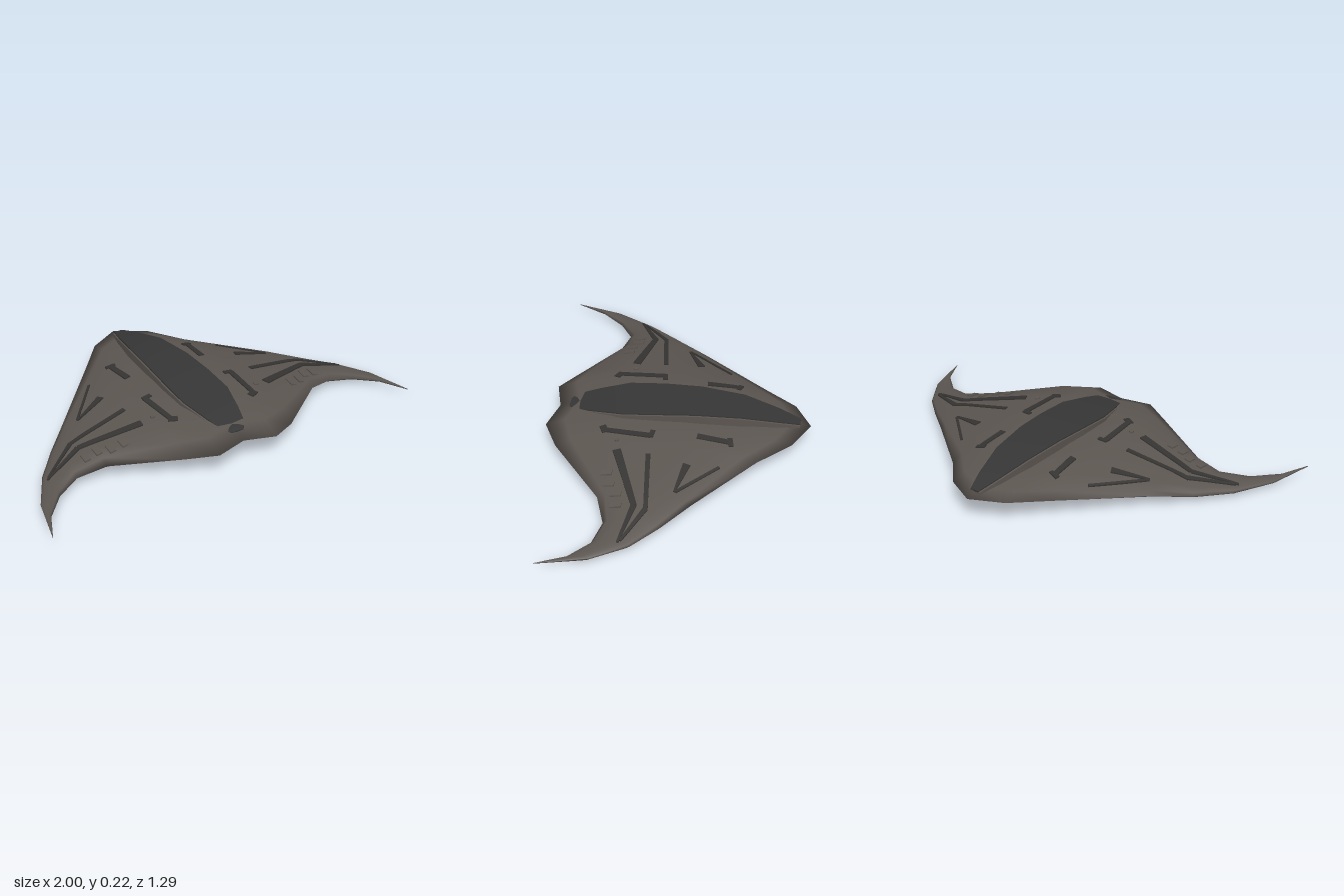
import * as THREE from 'three';
import { toCreasedNormals } from 'three/addons/utils/BufferGeometryUtils.js';

const mat = (name, color, extra = {}) => {
  const m = new THREE.MeshStandardMaterial({ color, ...extra });
  m.name = name;
  return m;
};

// Wing stations: x, rear edge z, front edge z, edge y, top y, bottom y, sweep of the -x wing
const STATIONS = [
  [0, -0.65, 0.54, 0.12, 0.175, 0.075, 0],
  [0.15, -0.57, 0.58, 0.115, 0.175, 0.075, 0],
  [0.28, -0.42, 0.51, 0.1, 0.165, 0.07, 0],
  [0.58, -0.16, 0.26, 0.07, 0.108, 0.03, 0.08],
  [0.72, -0.04, 0.21, 0.045, 0.077, 0.018, 0.11],
  [0.84, 0.07, 0.24, 0.035, 0.053, 0.015, 0.15],
  [0.94, 0.23, 0.33, 0.034, 0.042, 0.022, 0.175],
  [1, 0.455, 0.46, 0.035, 0.037, 0.033, 0.18],
];
// Chord fraction and height fraction of the upper and lower skin
const TOP = [[0, 0], [0.07, 0.32], [0.2, 0.7], [0.45, 1], [0.75, 0.97], [0.92, 0.68], [1, 0]];
const BOTTOM = [[0.9, 0.75], [0.7, 1], [0.3, 1], [0.08, 0.5]];

const lerp = THREE.MathUtils.lerp;
function station(x) {
  const u = Math.min(Math.abs(x), 1);
  let i = 0;
  while (i < STATIONS.length - 2 && STATIONS[i + 1][0] < u) i++;
  const a = STATIONS[i], b = STATIONS[i + 1];
  const k = (u - a[0]) / (b[0] - a[0]);
  const s = a.map((v, n) => lerp(v, b[n], k));
  const sweep = x < 0 ? s[6] : 0;
  return { rear: s[1] + sweep, front: s[2] + sweep, edge: s[3], top: s[4], bottom: s[5], sweep };
}

// Height of the upper skin
function topAt(x, z) {
  const s = station(x);
  const t = THREE.MathUtils.clamp((z - s.rear) / (s.front - s.rear), 0, 1);
  let i = 0;
  while (i < TOP.length - 2 && TOP[i + 1][0] < t) i++;
  const [a, b] = [TOP[i], TOP[i + 1]];
  return lerp(s.edge, s.top, lerp(a[1], b[1], (t - a[0]) / (b[0] - a[0])));
}

// Skin over a series of closed rings, with both ends capped
function loft(rings, smooth) {
  const n = rings[0].length, pos = rings.flat(2), idx = [];
  for (let i = 0; i < rings.length - 1; i++) {
    for (let j = 0; j < n; j++) {
      const k = (j + 1) % n;
      const a = i * n + j, b = i * n + k, c = b + n, d = a + n;
      idx.push(a, b, c, a, c, d);
    }
  }
  const e = (rings.length - 1) * n;
  for (let j = 1; j < n - 1; j++) idx.push(0, j + 1, j, e, e + j, e + j + 1);
  const g = new THREE.BufferGeometry();
  g.setAttribute('position', new THREE.Float32BufferAttribute(pos, 3));
  g.setIndex(idx);
  if (!smooth) return toCreasedNormals(g, 0.5);
  g.computeVertexNormals();
  return g;
}

function hullGeometry() {
  const xs = STATIONS.map((s) => s[0]);
  const all = [...xs.slice(1).reverse().map((x) => -x), ...xs];
  return loft(all.map((x) => {
    const s = station(x);
    const z = (t) => lerp(s.rear, s.front, t);
    return [
      ...TOP.map(([t, h]) => [x, lerp(s.edge, s.top, h), z(t)]),
      ...BOTTOM.map(([t, h]) => [x, lerp(s.edge, s.bottom, h), z(t)]),
    ];
  }), true);
}

// Raised strip that follows the upper skin along a straight line
function stripGeometry(a, b, w0, w1, lift) {
  const len = Math.hypot(b[0] - a[0], b[1] - a[1]);
  const ux = -(b[1] - a[1]) / len, uz = (b[0] - a[0]) / len;
  const steps = Math.max(2, Math.ceil(len / 0.035));
  const rings = [];
  for (let i = 0; i <= steps; i++) {
    const k = i / steps, w = lerp(w0, w1, k) / 2;
    const x = lerp(a[0], b[0], k), z = lerp(a[1], b[1], k);
    const p = (side, up) => {
      const px = x + ux * w * side, pz = z + uz * w * side;
      return [px, topAt(px, pz) + up, pz];
    };
    rings.push([p(-1, -0.003), p(-1, lift), p(1, lift), p(1, -0.003)]);
  }
  return loft(rings, false);
}

// Spine outline: z, half width, top y
const SPINE = [
  [-0.6, 0.03, 0.142], [-0.5, 0.06, 0.168], [-0.33, 0.098, 0.203], [-0.12, 0.12, 0.214],
  [0.05, 0.129, 0.207], [0.22, 0.13, 0.194], [0.36, 0.097, 0.172], [0.46, 0.068, 0.152], [0.49, 0.04, 0.143],
];
const spineGeometry = (inset, low, high) => loft(SPINE.map(([z, w, y]) => {
  const h = w - inset, bottom = low === null ? 0.11 : y + low;
  return [[h, bottom, z], [h, y + high, z], [-h, y + high, z], [-h, bottom, z]];
}), false);

// Upper markings of the +x wing: start, end, start width, end width
const MARKS = [
  [[0.235, -0.3], [0.19, -0.29], 0.022, 0.022],
  [[0.215, -0.3], [0.205, -0.14], 0.025, 0.03],
  [[0.36, -0.26], [0.54, -0.085], 0.012, 0.012],
  [[0.54, -0.08], [0.38, -0.115], 0.008, 0.035],
  [[0.2, 0.065], [0.245, 0.07], 0.022, 0.022],
  [[0.235, 0.07], [0.222, 0.28], 0.028, 0.025],
  [[0.235, 0.28], [0.195, 0.3], 0.03, 0.03],
  [[0.35, 0.065], [0.66, 0.03], 0.022, 0.02],
  [[0.65, 0.03], [0.83, 0.115], 0.022, 0.01],
  [[0.34, 0.21], [0.64, 0.085], 0.038, 0.026],
  [[0.64, 0.085], [0.84, 0.125], 0.026, 0.01],
];
const HATCHES = [[0.47, 0.235], [0.53, 0.215], [0.585, 0.175], [0.645, 0.165]];

export function createModel() {
  const group = new THREE.Group();
  const hullMat = mat('hull brown grey', 0x5b5550, { side: THREE.DoubleSide });
  const spineMat = mat('spine grey', 0x363636);
  const markMat = mat('marking dark grey', 0x353432);
  const gearMat = mat('underside fitting grey', 0x4e4a45);
  const add = (name, geo, material, parent = group) => {
    const m = new THREE.Mesh(geo, material);
    m.name = name;
    parent.add(m);
    return m;
  };

  add('hull', hullGeometry(), hullMat);
  add('spineBase', spineGeometry(0, null, -0.004), hullMat);
  add('spinePlate', spineGeometry(0.008, -0.006, 0.002), spineMat);

  // Markings, hatches and ports on both wings
  for (const side of [1, -1]) {
    const wing = new THREE.Group();
    wing.name = side > 0 ? 'leftWingDetails' : 'rightWingDetails';
    group.add(wing);
    const place = ([x, z]) => [side * x, z + station(side * x).sweep];
    for (const [a, b, w0, w1] of MARKS) {
      add('panelLine', stripGeometry(place(a), place(b), w0, w1, 0.006), markMat, wing);
    }
    for (const [x, z] of HATCHES) {
      const [px, pz] = place([x, z]);
      add('hatch', stripGeometry([px, pz - 0.025], [px, pz + 0.025], 0.028, 0.028, 0.007), hullMat, wing);
    }
    const port = add('port', new THREE.CylinderGeometry(0.011, 0.011, 0.012, 8), hullMat, wing);
    port.position.set(side * 0.28, topAt(side * 0.28, 0.22), 0.22);
    const pod = add('sidePod', new THREE.CylinderGeometry(0.052, 0.044, 0.04, 8), gearMat, wing);
    pod.position.set(side * 0.23, 0.066, -0.17);
  }

  // Stepped round fitting under the hull
  const profile = [
    [0, 0], [0.098, 0], [0.113, 0.01], [0.113, 0.032], [0.125, 0.036],
    [0.148, 0.044], [0.158, 0.054], [0.158, 0.07], [0.145, 0.09], [0, 0.09],
  ].map(([r, y]) => new THREE.Vector2(r, y));
  const disc = add('bellyDisc', toCreasedNormals(new THREE.LatheGeometry(profile, 24), 0.4), gearMat);
  disc.position.z = -0.27;

  return group;
}
